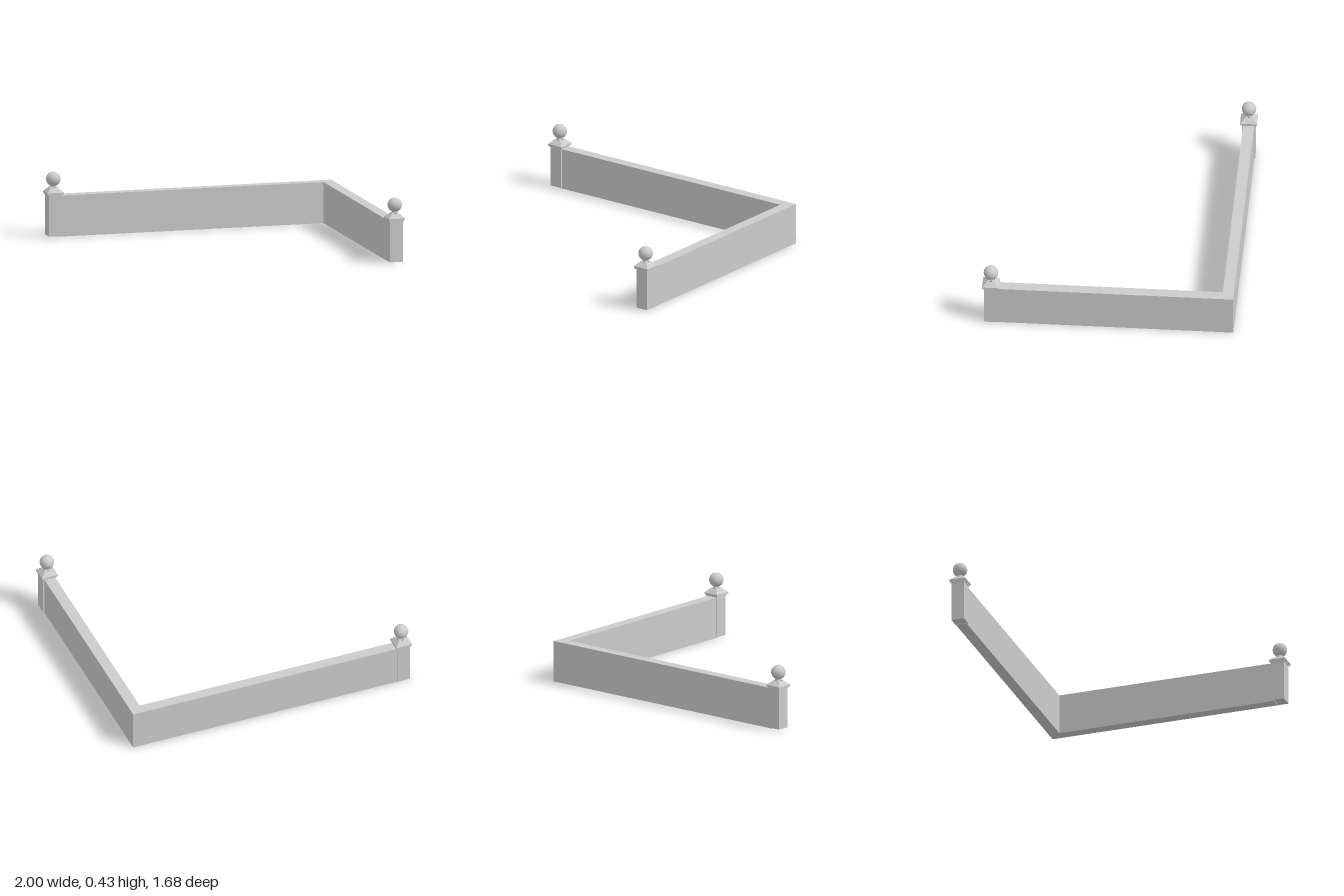
import * as THREE from 'three';

const material = new THREE.MeshStandardMaterial({ color: 0xcccccc });
const flat = new THREE.MeshStandardMaterial({ color: 0xcccccc, flatShading: true });

function add(parent, name, geometry, x, y, z, mat = material) {
  const mesh = new THREE.Mesh(geometry, mat);
  mesh.name = name;
  mesh.position.set(x, y, z);
  parent.add(mesh);
  return mesh;
}

// Square frustum with sides parallel to the axes, given half widths
function squareFrustum(top, bottom, height) {
  const r = Math.SQRT2;
  return new THREE.CylinderGeometry(top * r, bottom * r, height, 4).rotateY(Math.PI / 4);
}

// Square post with a pyramid cap and a ball finial
function createPost(name, x, z) {
  const post = new THREE.Group();
  post.name = name;
  post.position.set(x, 0, z);
  add(post, 'postShaft', new THREE.BoxGeometry(0.088, 0.279, 0.088), 0, 0.1445, 0);
  add(post, 'capMoulding', new THREE.BoxGeometry(0.098, 0.01, 0.098), 0, 0.281, 0);
  add(post, 'capSlab', new THREE.BoxGeometry(0.112, 0.011, 0.112), 0, 0.2915, 0);
  add(post, 'capPyramid', squareFrustum(0.02, 0.056, 0.034), 0, 0.314, 0, flat);
  const neck = [[0.027, 0.326], [0.021, 0.332], [0.019, 0.338], [0.023, 0.345]]
    .map(([r, y]) => new THREE.Vector2(r, y));
  neck.unshift(new THREE.Vector2(0, 0.326));
  add(post, 'finialNeck', new THREE.LatheGeometry(neck, 24), 0, 0, 0);
  add(post, 'finialBall', new THREE.SphereGeometry(0.048, 32, 20), 0, 0.383, 0);
  return post;
}

export function createModel() {
  const model = new THREE.Group();
  model.name = 'cornerWall';

  // L-shaped wall, drawn in plan (plan y = -z) and raised; ends sit inside the posts
  const plan = new THREE.Shape([
    [-0.92, 0.748], [0.904, 0.748], [0.904, -0.76],
    [0.979, -0.76], [0.979, 0.822], [-0.92, 0.822],
  ].map(([x, y]) => new THREE.Vector2(x, y)));
  const wall = new THREE.ExtrudeGeometry(plan, { depth: 0.275, bevelEnabled: false });
  add(model, 'wall', wall.rotateX(-Math.PI / 2), 0, 0, 0);

  // End posts
  model.add(createPost('backRightPost', -0.944, -0.784));
  model.add(createPost('frontLeftPost', 0.944, 0.784));
  return model;
}
